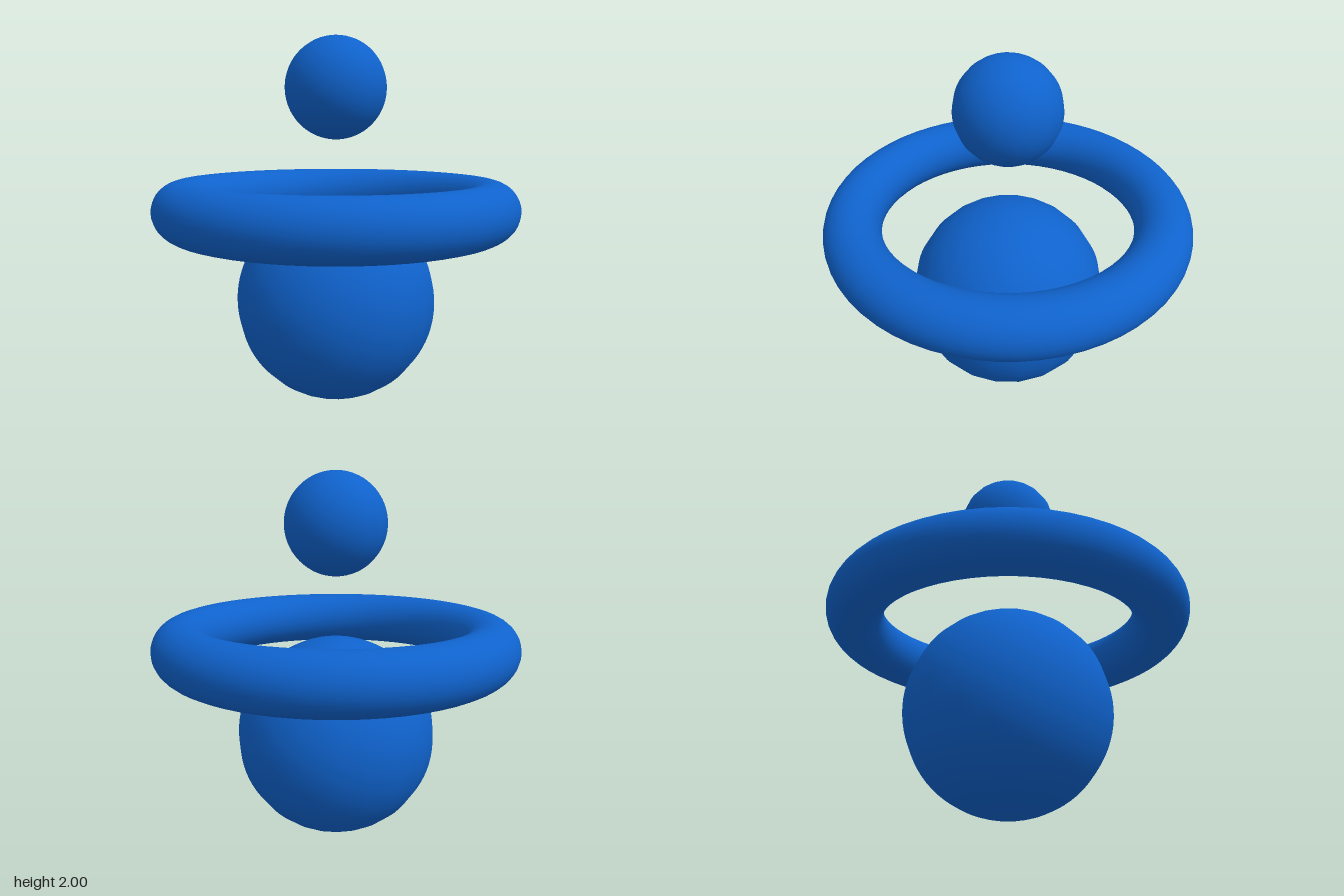
import * as THREE from 'three';

export function createModel() {
  const group = new THREE.Group();
  const material = new THREE.MeshStandardMaterial({ color: 0x0f62cc });

  const add = (name, geometry, y) => {
    const mesh = new THREE.Mesh(geometry, material);
    mesh.name = name;
    mesh.position.y = y;
    group.add(mesh);
  };

  // Large ball resting on the ground
  add('lowerBall', new THREE.SphereGeometry(0.553, 20, 40), 0.553);

  // Horizontal ring floating around the top of the large ball
  const ring = new THREE.TorusGeometry(0.84, 0.153, 32, 60).rotateX(Math.PI / 2);
  add('ring', ring, 1.075);

  // Small ball floating above the ring
  add('upperBall', new THREE.SphereGeometry(0.277, 20, 40), 1.723);

  return group;
}
